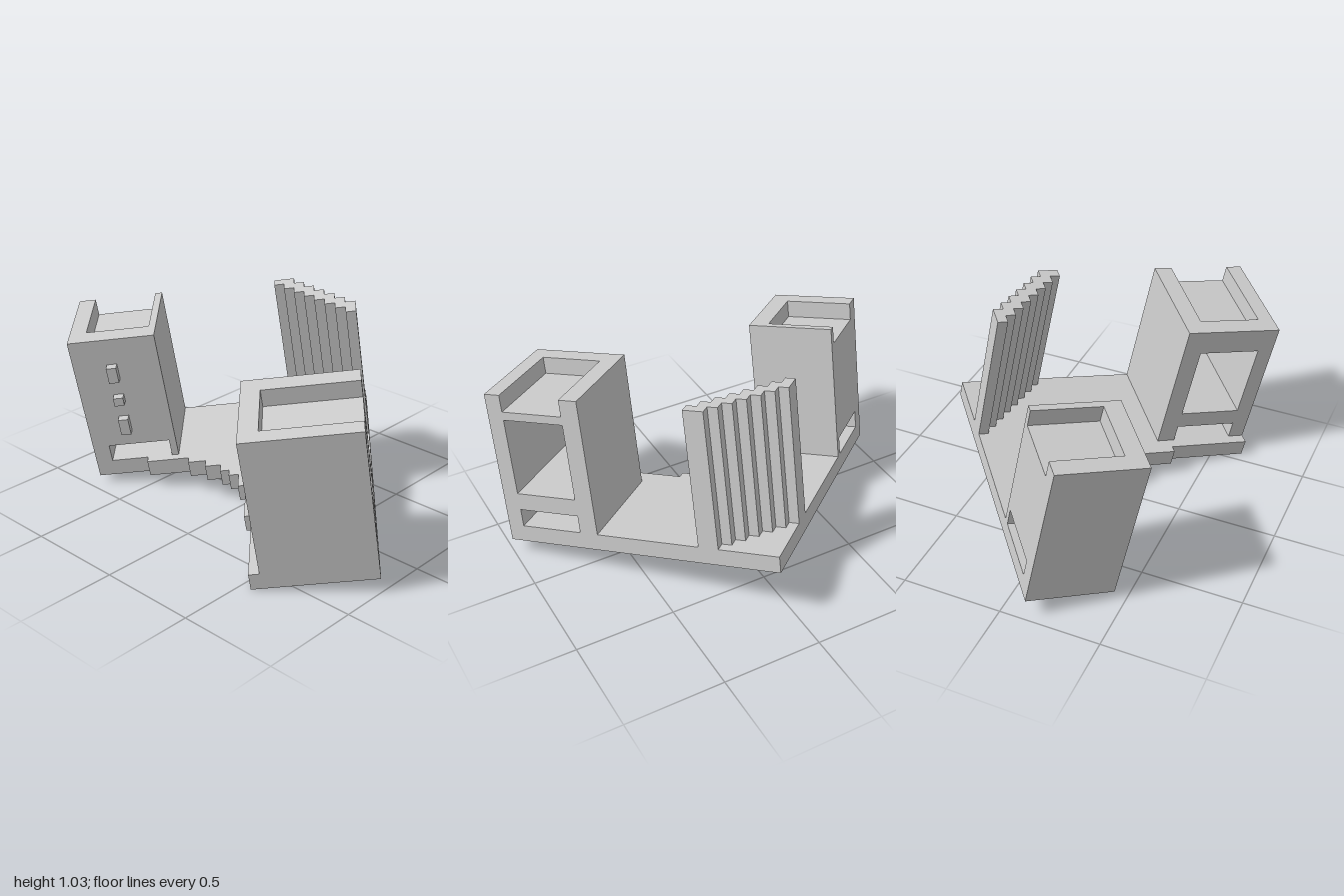
import * as THREE from 'three';

const SLAB = 0.087;   // slab thickness
const FLOOR = 0.713;  // roof terrace level
const TOP = 0.8;      // parapet level
const SIDE = 1.41;    // side of the square plot
const material = new THREE.MeshStandardMaterial({ color: 0xcccccc, flatShading: true });

function part(name, geometry) {
  const mesh = new THREE.Mesh(geometry, material);
  mesh.name = name;
  return mesh;
}

function shapeOf(points) {
  return new THREE.Shape(points.map(([x, y]) => new THREE.Vector2(x, y)));
}

function extrude(shape, depth) {
  return new THREE.ExtrudeGeometry(shape, { depth, bevelEnabled: false });
}

// Plan outline (x, z) raised from y0 to y1
function raise(points, y0, y1) {
  return extrude(shapeOf(points.map(([x, z]) => [x, -z])), y1 - y0)
    .rotateX(-Math.PI / 2).translate(0, y0, 0);
}

// Block with a low passage, optional large window, and a roof terrace open at z = 0
function tower(name, width, depth, u0, u1, terraceDepth, hasWindow) {
  const group = new THREE.Group();
  group.name = name;
  const profile = shapeOf([
    [0, SLAB], [u0, SLAB], [u0, 0.18], [u1, 0.18], [u1, SLAB],
    [width, SLAB], [width, FLOOR], [0, FLOOR],
  ]);
  if (hasWindow) {
    const w = [[u0, 0.27], [u0, 0.67], [u1, 0.67], [u1, 0.27]];
    profile.holes.push(new THREE.Path(w.map(([x, y]) => new THREE.Vector2(x, y))));
  }
  group.add(part('towerBody', extrude(profile, depth)));
  group.add(part('parapet', raise([
    [0, 0], [u0, 0], [u0, terraceDepth], [u1, terraceDepth],
    [u1, 0], [width, 0], [width, depth], [0, depth],
  ], FLOOR, TOP)));
  return group;
}

export function createModel() {
  const model = new THREE.Group();
  model.name = 'buildingComplex';

  // Site frame: origin at the back corner, tilted forward and turned on plan
  const site = new THREE.Group();
  site.name = 'site';
  site.rotation.set(0.199, -0.86, 0);
  site.position.set(0.08, 0.289, -0.774);
  model.add(site);

  // L-shaped slab with a stepped inner edge
  const steps = [
    [0.99, 0.585], [0.747, 0.62], [0.651, 0.66], [0.609, 0.71], [0.557, 0.755],
    [0.509, 0.835], [0.47, 0.925], [0.43, 1.14],
  ];
  const outline = [[0, 0], [SIDE, 0], [SIDE, steps[0][1]]];
  steps.forEach(([a, b], i) => {
    outline.push([a, b], [a, i + 1 < steps.length ? steps[i + 1][1] : SIDE]);
  });
  outline.push([0, SIDE]);
  site.add(part('baseSlab', raise(outline, 0, SLAB)));

  // Tower on the model's left, with the large window
  const leftTower = tower('leftTower', 0.485, 0.535, 0.092, 0.405, 0.445, true);
  leftTower.position.x = SIDE - 0.485;
  site.add(leftTower);

  // Tower on the model's right
  const rightTower = tower('rightTower', 0.43, 0.43, 0.083, 0.395, 0.337, false);
  rightTower.rotation.y = Math.PI / 2;
  rightTower.position.z = SIDE;
  site.add(rightTower);

  // Small blocks projecting from the right tower's front
  for (const [low, high] of [[0.265, 0.355], [0.44, 0.485], [0.575, 0.66]]) {
    const block = part('wallBlock', new THREE.BoxGeometry(0.04, high - low, 0.05));
    block.position.set(0.45, (low + high) / 2, 1.215);
    site.add(block);
  }

  // Pleated screen standing across the back corner
  const pleats = [];
  const s = 0.05;
  for (let i = 0; i < 8; i++) pleats.push([i * s, (8 - i) * s], [(i + 1) * s, (8 - i) * s]);
  pleats.push([8 * s, 0], [6 * s, 0]);
  for (let i = 5; i >= 0; i--) pleats.push([(i + 1) * s, (6 - i) * s], [i * s, (6 - i) * s]);
  site.add(part('pleatedScreen', raise(pleats, SLAB, TOP)));

  return model;
}
